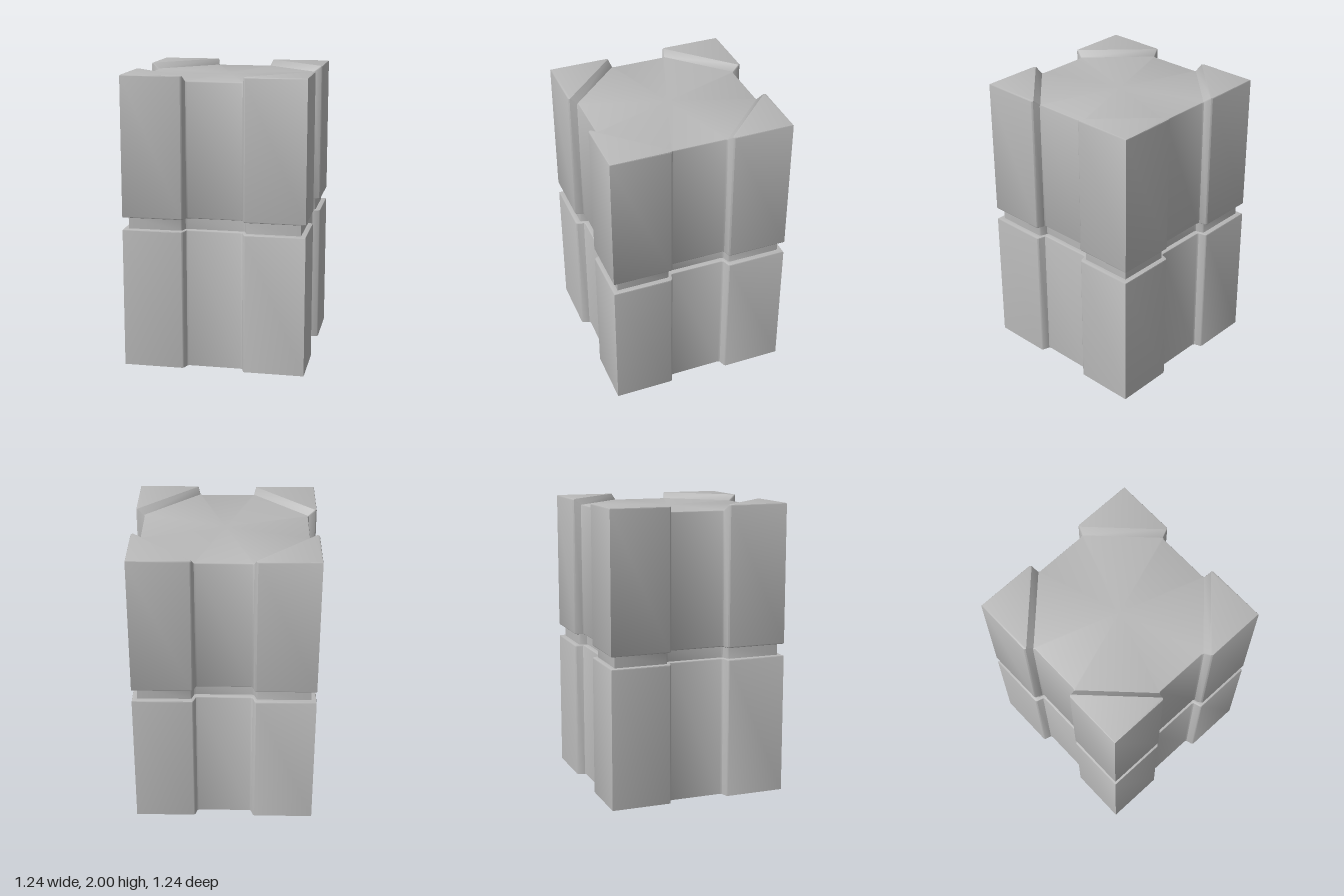
import * as THREE from 'three';
import { mergeVertices, toCreasedNormals } from 'three/addons/utils/BufferGeometryUtils.js';

const TOP = 2, RECESS_TOP = 1.96;
const GROOVE_LOW = 0.96, GROOVE_HIGH = 1.04, GROOVE_DEPTH = 0.035;
const PER_CORNER = 9, COUNT = PER_CORNER * 4;

// Plan outline: four square corner pads joined by shallow side recesses, inset by d.
function outline(d) {
  const outer = 0.62 - d, recess = 0.56 - d, s = 0.35 * d;
  const half = [
    [recess, 0.178 + s],
    [recess + 0.007, 0.191 + s],
    [outer - 0.008, 0.205 + s],
    [outer, 0.215 + s],
  ];
  const corner = [...half, [outer, outer], ...half.map(([x, z]) => [z, x]).reverse()];
  const points = [];
  for (let k = 0; k < 4; k++) {
    for (let [x, z] of corner) {
      for (let r = 0; r < k; r++) [x, z] = [-z, x];
      points.push([x, z]);
    }
  }
  return points;
}

// Points 2 to 6 of each corner belong to the raised pad.
const topHeight = (i) => {
  const j = i % PER_CORNER;
  return j >= 2 && j <= 6 ? TOP : RECESS_TOP;
};

// Joins rings of [height or height rule, inset] and can close the last with the stepped top.
function shell(rings, capped = false) {
  const pos = [], index = [];
  for (const [y, d] of rings) {
    outline(d).forEach(([x, z], i) => pos.push(x, typeof y === 'function' ? y(i) : y, z));
  }
  for (let r = 0; r < rings.length - 1; r++) {
    for (let i = 0; i < COUNT; i++) {
      const next = (i + 1) % COUNT;
      const a = r * COUNT + i, a1 = r * COUNT + next;
      index.push(a, a + COUNT, a1 + COUNT, a, a1 + COUNT, a1);
    }
  }
  if (capped) {
    const base = (rings.length - 1) * COUNT;
    const centre = pos.length / 3;
    pos.push(0, RECESS_TOP, 0);
    const rim = [];
    for (let k = 0; k < 4; k++) {
      const c = base + k * PER_CORNER;
      // raised corner triangle
      for (let i = 3; i < 6; i++) index.push(c + 2, c + i + 1, c + i);
      // diagonal slope down to the middle
      index.push(c + 1, c + 7, c + 6, c + 1, c + 6, c + 2);
      rim.push(c, c + 1, c + 7, c + 8);
    }
    // sunken middle
    rim.forEach((p, i) => index.push(centre, rim[(i + 1) % rim.length], p));
  }
  const geometry = new THREE.BufferGeometry();
  geometry.setAttribute('position', new THREE.Float32BufferAttribute(pos, 3));
  geometry.setIndex(index);
  return toCreasedNormals(mergeVertices(geometry), 0.7);
}

export function createModel() {
  const model = new THREE.Group();
  model.name = 'groovedPillar';
  const stone = new THREE.MeshStandardMaterial({ color: 0xb8b8b8, side: THREE.DoubleSide });
  stone.name = 'plain grey';

  const add = (name, geometry) => {
    const mesh = new THREE.Mesh(geometry, stone);
    mesh.name = name;
    model.add(mesh);
  };

  // Lower block: open underneath, rounded lip and ledge at the groove
  add('lowerBlock', shell([
    [0, 0],
    [GROOVE_LOW - 0.008, 0],
    [GROOVE_LOW - 0.0024, 0.0024],
    [GROOVE_LOW, 0.008],
    [GROOVE_LOW, GROOVE_DEPTH],
  ]));

  // Inset band around the middle
  add('grooveBand', shell([[GROOVE_LOW, GROOVE_DEPTH], [GROOVE_HIGH, GROOVE_DEPTH]]));

  // Upper block: rounded lip, walls, rounded rim and stepped top
  add('upperBlock', shell([
    [GROOVE_HIGH, GROOVE_DEPTH],
    [GROOVE_HIGH, 0.008],
    [GROOVE_HIGH + 0.0024, 0.0024],
    [GROOVE_HIGH + 0.008, 0],
    [(i) => topHeight(i) - 0.008, 0],
    [(i) => topHeight(i) - 0.0024, 0.0024],
    [topHeight, 0.008],
  ], true));

  return model;
}
